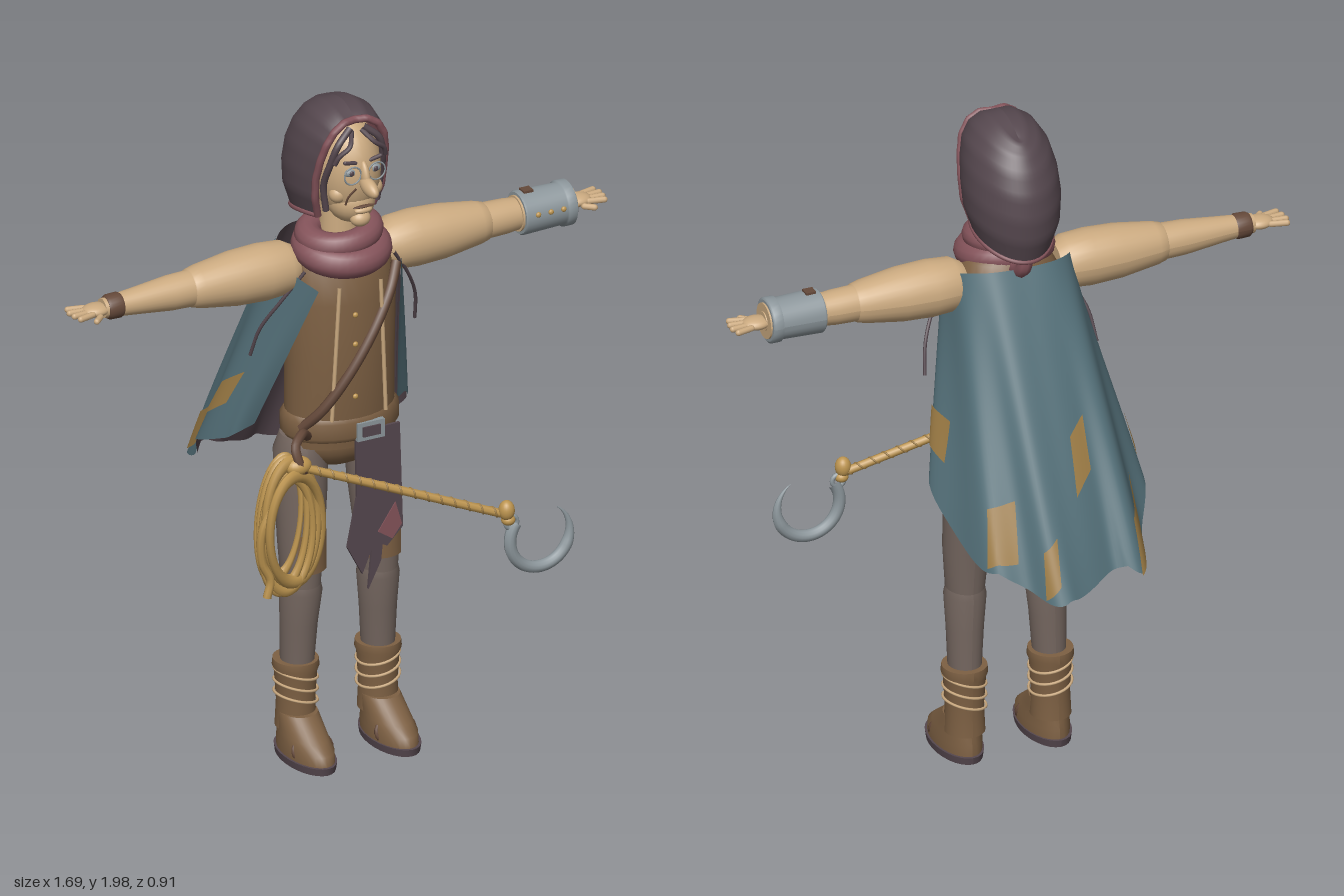
import * as THREE from 'three';

const mat = (name, color) => Object.assign(new THREE.MeshStandardMaterial({ color }), { name });
const V = (p) => new THREE.Vector3(...p);

export function createModel() {
  const root = new THREE.Group();
  const skin = mat('tan skin', 0xcbaa80), teal = mat('teal cloth', 0x547079), purple = mat('dark purple cloth', 0x55474e),
    pink = mat('dusty pink cloth', 0x84535a), pants = mat('taupe trousers', 0x74665f), brown = mat('brown leather', 0x7d6043),
    dark = mat('dark leather', 0x65493a), rope = mat('golden rope', 0xbd9550), ochre = mat('ochre patch', 0x9d7c45),
    metal = mat('grey metal', 0x8d979c);

  const add = (name, geo, m, pos = [0, 0, 0], scale = [1, 1, 1], rot = [0, 0, 0], parent = root) => {
    const o = new THREE.Mesh(geo, m);
    o.name = name;
    o.position.set(...pos); o.scale.set(...scale); o.rotation.set(...rot);
    parent.add(o);
    return o;
  };
  const ball = (name, m, pos, scale, rot, parent) => add(name, new THREE.SphereGeometry(1, 24, 16), m, pos, scale, rot, parent);
  const tube = (name, pts, r, m, parent, seg = 32) =>
    add(name, new THREE.TubeGeometry(new THREE.CatmullRomCurve3(pts.map(V)), seg, r, 8), m, undefined, undefined, undefined, parent);

  // Surface from a rule f(u, v); the front faces along du x dv
  const grid = (f, nu, nv, flip = false) => {
    const pos = [], idx = [];
    for (let j = 0; j <= nv; j++) for (let i = 0; i <= nu; i++) pos.push(...f(i / nu, j / nv));
    for (let j = 0; j < nv; j++) for (let i = 0; i < nu; i++) {
      const a = j * (nu + 1) + i, b = a + 1, c = a + nu + 1, d = c + 1;
      idx.push(...(flip ? [a, c, b, b, c, d] : [a, b, c, b, d, c]));
    }
    const g = new THREE.BufferGeometry();
    g.setAttribute('position', new THREE.Float32BufferAttribute(pos, 3));
    g.setIndex(idx);
    g.computeVertexNormals();
    return g;
  };
  // Elliptical rings [x, y, z, rx, rz] from bottom to top, with sharp caps
  const loft = (rings) => {
    const a = rings[0], b = rings.at(-1);
    const rows = [[a[0], a[1], a[2], 0, 0], a, ...rings, b, [b[0], b[1], b[2], 0, 0]];
    return grid((u, v) => {
      const r = rows[Math.round(v * (rows.length - 1))], t = (u * 2 - 1) * Math.PI;
      return [r[0] + r[3] * Math.sin(t), r[1], r[2] + r[4] * Math.cos(t)];
    }, 28, rows.length - 1);
  };

  // Torso and belt
  add('vest', loft([[0, .95, .1, .155, .105], [0, 1.05, .1, .163, .12], [0, 1.2, .1, .16, .13], [0, 1.4, .1, .165, .13],
    [0, 1.49, .09, .155, .115], [0, 1.55, .09, .12, .09], [0, 1.59, .09, .06, .06]]), brown);
  ball('pelvis', brown, [0, .96, .09], [.15, .1, .1]);
  add('belt', loft([[0, .975, .1, .165, .115], [0, .99, .1, .176, .126], [0, 1.035, .1, .176, .126], [0, 1.05, .1, .165, .115]]), brown);
  add('buckle', new THREE.BoxGeometry(.085, .055, .015), metal, [.03, 1.005, .225]);
  add('bucklePlate', new THREE.BoxGeometry(.055, .03, .008), purple, [.03, 1.005, .233]);
  const front = (x, y, d = .003) => [x, y, .1 + .13 * Math.sqrt(Math.max(0, 1 - (x / .165) ** 2)) + d];
  const line = (x0, y0, x1, y1) => Array.from({ length: 9 }, (_, i) => front(x0 + (x1 - x0) * i / 8, y0 + (y1 - y0) * i / 8));
  for (const s of [-1, 1]) tube('vestTrim', line(s * .065, 1.46, s * .085, 1.05), .006, skin);
  tube('crossStrap', line(.145, 1.47, -.15, 1.02), .015, dark);
  for (const y of [1.37, 1.28, 1.2, 1.12]) ball('button', rope, front(-.02, y), [.008, .008, .006]);

  // Hanging cloth with a patch
  const cloth = (pts) => new THREE.ExtrudeGeometry(new THREE.Shape(pts.map((p) => new THREE.Vector2(...p))), { depth: .009, bevelEnabled: false });
  add('hangingCloth', cloth([[-.01, 1], [-.005, .8], [-.035, .65], [.012, .56], [.05, .65], [.09, .63], [.14, .68], [.13, 1]]), purple, [0, 0, .205]);
  add('clothPatch', cloth([[.06, .68], [.105, .65], [.135, .69], [.115, .76]]), pink, [0, 0, .208]);
  add('backCloth', cloth([[.05, .98], [.06, .72], [.04, .5], [.08, .58], [.12, .98]]), purple, [0, 0, .188]);

  // Legs and boots
  for (const s of [-1, 1]) {
    add('thigh', loft([[s * .122, .52, .1, .055, .06], [s * .12, .65, .097, .066, .068], [s * .114, .8, .085, .074, .077],
      [s * .112, .92, .08, .076, .082], [s * .108, .97, .08, .06, .07]]), pants);
    add('shin', loft([[s * .128, .25, .088, .046, .05], [s * .125, .4, .094, .053, .056], [s * .122, .5, .1, .06, .064], [s * .122, .535, .1, .053, .057]]), pants);
    add('kneePatch', grid((u, v) => {
      const t = (u - .5) * 1.5 - s * .1;
      return [s * .12 + .071 * Math.sin(t), .57 + .12 * v, .1 + .073 * Math.cos(t)];
    }, 10, 4), brown);
    add('bootShaft', loft([[s * .13, .08, .085, .058, .062], [s * .13, .16, .085, .054, .058], [s * .13, .25, .085, .06, .064], [s * .13, .265, .085, .066, .069],
      [s * .13, .285, .085, .064, .067]]), brown);
    add('foot', loft([[s * .132, .02, .148, .064, .127], [s * .132, .05, .146, .064, .124], [s * .132, .075, .132, .06, .104],
      [s * .131, .1, .115, .058, .085], [s * .13, .13, .095, .055, .066]]), brown);
    add('sole', loft([[s * .133, 0, .148, .066, .132], [s * .133, .022, .148, .069, .136]]), purple);
    add('toeStrap', new THREE.TorusGeometry(.058, .008, 8, 24), dark, [s * .131, .045, .185], [1, .7, 1], [-.35, 0, 0]);
    for (const y of [.17, .205, .24]) add('bootLace', new THREE.TorusGeometry(.062, .004, 6, 28), skin, [s * .13, y, .085], [1, 1.05, 1], [Math.PI / 2, .25 * s, 0]);
  }

  // Arms are built upright, then laid outward
  for (const s of [-1, 1]) {
    const arm = new THREE.Group();
    arm.name = s > 0 ? 'leftArm' : 'rightArm';
    arm.position.set(0, 1.49, .083);
    arm.rotation.z = -s * Math.PI / 2;
    root.add(arm);
    const part = (name, m, pts) => add(name, loft(pts.map(([y, r]) => [0, y, 0, r, r])), m, undefined, undefined, undefined, arm);
    part('upperSleeve', skin, [[.14, .06], [.17, .077], [.24, .082], [.33, .078], [.44, .062], [.465, .055], [.472, .045]]);
    part('forearm', skin, [[.46, .052], [.53, .05], [.64, .038], [.74, .028]]);
    if (s < 0) part('wristBand', dark, [[.683, .033], [.69, .037], [.722, .036], [.73, .031]]);
    else {
      part('armGuard', metal, [[.57, .06], [.575, .064], [.7, .06], [.702, .066], [.728, .066], [.732, .06]]);
      part('guardLining', skin, [[.564, .052], [.737, .052]]);
      for (const y of [.605, .645, .685]) ball('guardStud', rope, [-.012, y, .062], [.008, .008, .006], undefined, arm);
      add('guardClasp', new THREE.BoxGeometry(.012, .03, .03), dark, [-.062, .6, 0], undefined, undefined, arm);
    }
    // Hand with spread fingers
    ball('palm', skin, [0, .76, 0], [.018, .042, .034], undefined, arm);
    for (let i = 0; i < 4; i++)
      add('finger', new THREE.CapsuleGeometry(.009, .045, 4, 10), skin, [0, .815 - Math.abs(i - 1.3) * .006, (i - 1.5) * .021], undefined, [(i - 1.5) * .16, 0, 0], arm);
    add('thumb', new THREE.CapsuleGeometry(.009, .03, 4, 10), skin, [s * .008, .775, .045], undefined, [.75, 0, 0], arm);
  }

  // Head and face
  add('neck', new THREE.CylinderGeometry(.055, .06, .16, 20), skin, [0, 1.6, .1]);
  ball('head', skin, [0, 1.79, .135], [.095, .155, .115]);
  ball('jaw', skin, [0, 1.7, .165], [.068, .068, .075]);
  ball('chin', skin, [0, 1.66, .222], [.03, .024, .026]);
  ball('nose', skin, [0, 1.775, .275], [.02, .024, .045], [.2, 0, 0]);
  ball('noseBridge', skin, [0, 1.805, .25], [.013, .04, .018], [-.35, 0, 0]);
  ball('upperLip', dark, [0, 1.704, .243], [.034, .004, .007]);
  ball('lowerLip', skin, [0, 1.692, .24], [.028, .01, .013]);
  for (const s of [-1, 1]) {
    ball('cheek', skin, [s * .055, 1.735, .195], [.027, .026, .025]);
    ball('eye', metal, [s * .038, 1.812, .236], [.019, .012, .009]);
    ball('pupil', purple, [s * .038, 1.812, .244], [.007, .008, .004]);
    add('brow', new THREE.CapsuleGeometry(.006, .032, 3, 8), purple, [s * .04, 1.843, .238], undefined, [0, 0, Math.PI / 2 + s * .2]);
    add('eyeRing', new THREE.TorusGeometry(.026, .0025, 6, 24), metal, [s * .038, 1.808, .25]);
    tube('faceCrease', [[s * .025, 1.765, .246], [s * .043, 1.735, .232], [s * .046, 1.71, .222]], .003, dark);
    tube('sideLock', [[s * .02, 1.93, .2], [s * .065, 1.89, .213], [s * .083, 1.83, .2], [s * .09, 1.76, .175], [s * .08, 1.68, .17]], .01, purple);
    tube('foreLock', [[s * .015, 1.92, .2], [s * .04, 1.89, .235], [s * .07, 1.865, .23], [s * .08, 1.84, .222]], .007, purple);
  }

  // Hood: rows of y, half width, front z and back z
  const rows = [[2, 0, .19, .01], [1.992, .045, .197, -.015], [1.965, .085, .2, -.045], [1.92, .113, .195, -.075], [1.86, .128, .18, -.1],
    [1.79, .134, .162, -.11], [1.72, .13, .152, -.105], [1.65, .108, .135, -.08]];
  const hood = (k) => (u, v) => {
    const t = v * (rows.length - 1), i = Math.min(Math.floor(t), rows.length - 2);
    const [y, w, zf, zb] = rows[i].map((a, n) => a + (rows[i + 1][n] - a) * (t - i));
    const ph = (u * 2 - 1) * .7 * Math.PI, f = (1 - Math.cos(ph)) / 1.588;
    const yy = y - .05 * f ** 3 * (1 - v) - .05 * (1 - f) ** 2;
    return [w * k * Math.sin(ph), 1.78 + (yy - 1.78) * k, .08 + (zb + (zf - zb) * f - .08) * k];
  };
  add('hood', grid(hood(1), 40, 28), purple);
  add('hoodLining', grid(hood(.975), 40, 28, true), pink);
  const rim = [];
  for (let i = 14; i > 0; i--) rim.push(hood(.99)(0, i / 14));
  for (let i = 0; i <= 14; i++) rim.push(hood(.99)(1, i / 14));
  tube('hoodRim', rim, .011, pink, root, 80);
  tube('hoodHem', Array.from({ length: 21 }, (_, i) => hood(.99)(i / 20, 1)), .008, pink, root, 60);
  tube('hoodTail', [[0, 1.64, -.06], [.01, 1.575, -.055], [.01, 1.545, -.01], [0, 1.55, .05]], .022, pink);

  // Scarf
  add('scarfLower', new THREE.TorusGeometry(.095, .042, 14, 36), pink, [-.012, 1.545, .135], [1.05, 1, 1], [Math.PI / 2 + .18, 0, 0]);
  add('scarfUpper', new THREE.TorusGeometry(.08, .036, 14, 36), pink, [-.015, 1.588, .125], [1.1, 1, 1], [Math.PI / 2 + .1, .1, 0]);

  // Cape: shoulder line to ragged hem, with deepening folds
  const shoulder = new THREE.CatmullRomCurve3([[-.13, 1.46, .22], [-.175, 1.5, .13], [-.165, 1.545, .03], [-.1, 1.56, -.025], [0, 1.56, -.035],
    [.1, 1.56, -.025], [.165, 1.545, .03], [.175, 1.5, .13], [.13, 1.46, .22]].map(V));
  const hem = new THREE.CatmullRomCurve3([[-.23, 1, .03], [-.305, .97, -.05], [-.275, .84, -.24], [-.19, .76, -.4], [-.1, .78, -.38], [.03, .72, -.45],
    [.12, .76, -.38], [.23, .8, -.28], [.275, .96, -.03], [.22, 1.01, .04]].map(V));
  const cape = (off) => (u, v) => {
    const p = shoulder.getPoint(u).lerp(hem.getPoint(u), v);
    const r = Math.hypot(p.x, p.z - .06) || 1;
    const d = off + v * .012 * Math.sin(u * 44);
    const rag = .035 * Math.abs(Math.sin(u * 17)) * v ** 6;
    return [p.x + p.x / r * d, p.y - rag, p.z + (p.z - .06) / r * d + d * .2];
  };
  add('cape', grid(cape(0), 100, 24), teal);
  add('capeLining', grid(cape(-.005), 100, 24, true), purple);
  // Patches: centre u, v and half sizes
  for (const [u, v, a, b] of [[.45, .62, .03, .09], [.29, .9, .035, .08], [.72, .86, .035, .1], [.87, .72, .03, .1], [.15, .75, .03, .09], [.6, .9, .025, .07]])
    add('capePatch', grid((s, t) => cape(.005)(u + (s * 2 - 1) * a + (t - .5) * .015, v + (t * 2 - 1) * b + (s - .5) * .05), 10, 8), ochre);
  for (const s of [-1, 1]) tube('capeCord', [[s * .14, 1.5, .16], [s * .2, 1.41, .13], [s * .245, 1.32, .09], [s * .26, 1.23, .06]], .005, purple);

  // Coiled rope on a belt loop
  tube('beltLoop', [[-.15, 1.01, .19], [-.2, 1.05, .25], [-.235, 1.03, .28], [-.225, .97, .3], [-.19, .95, .27]], .014, dark);
  for (let i = 0; i < 5; i++)
    add('ropeCoil', new THREE.TorusGeometry(.1, .0125, 8, 44), rope, [-.25 + (i - 2) * .007, .8 - (i % 3) * .018, .235 + i * .012],
      [.62 + i * .09, 1.75 + (i % 2) * .14, 1], [(i - 2) * .05, (i - 2) * .13, (i - 2) * .07]);
  tube('ropeEnd', [[-.3, .9, .3], [-.345, .8, .29], [-.34, .7, .28], [-.315, .64, .28], [-.325, .59, .28]], .0125, rope);
  ball('coilKnot', rope, [-.23, .975, .285], [.04, .028, .03]);

  // Taut rope with a twisted strand
  const A = V([-.23, .975, .29]), B = V([.345, .76, .435]);
  tube('tautRope', [A.toArray(), B.toArray()], .0125, rope);
  const dir = B.clone().sub(A).normalize(), n1 = V([0, 1, 0]).cross(dir).normalize(), n2 = dir.clone().cross(n1);
  tube('ropeTwist', Array.from({ length: 121 }, (_, i) => A.clone().lerp(B, i / 120)
    .addScaledVector(n1, .0115 * Math.cos(i * .8)).addScaledVector(n2, .0115 * Math.sin(i * .8)).toArray()), .003, ochre, root, 360);
  ball('hookKnot', rope, [.345, .775, .44], [.023, .03, .023]);
  ball('hookKnotLower', rope, [.35, .745, .44], [.02, .016, .02]);

  // Hook: curved bar tapering to a point
  const c = [.45, .675];
  add('hook', grid((u, v) => {
    const t = 2.5 + v * 4.75, a = u * Math.PI * 2, r = .0175 * Math.min(1, (1 - v) * 3.2 + .05);
    const R = .094 + r * Math.cos(a);
    return [c[0] + R * Math.cos(t), c[1] + R * Math.sin(t), .44 + r * Math.sin(a)];
  }, 12, 48, true), metal);
  add('hookEye', new THREE.TorusGeometry(.018, .007, 8, 20), metal, [.36, .735, .44]);
  return root;
}
